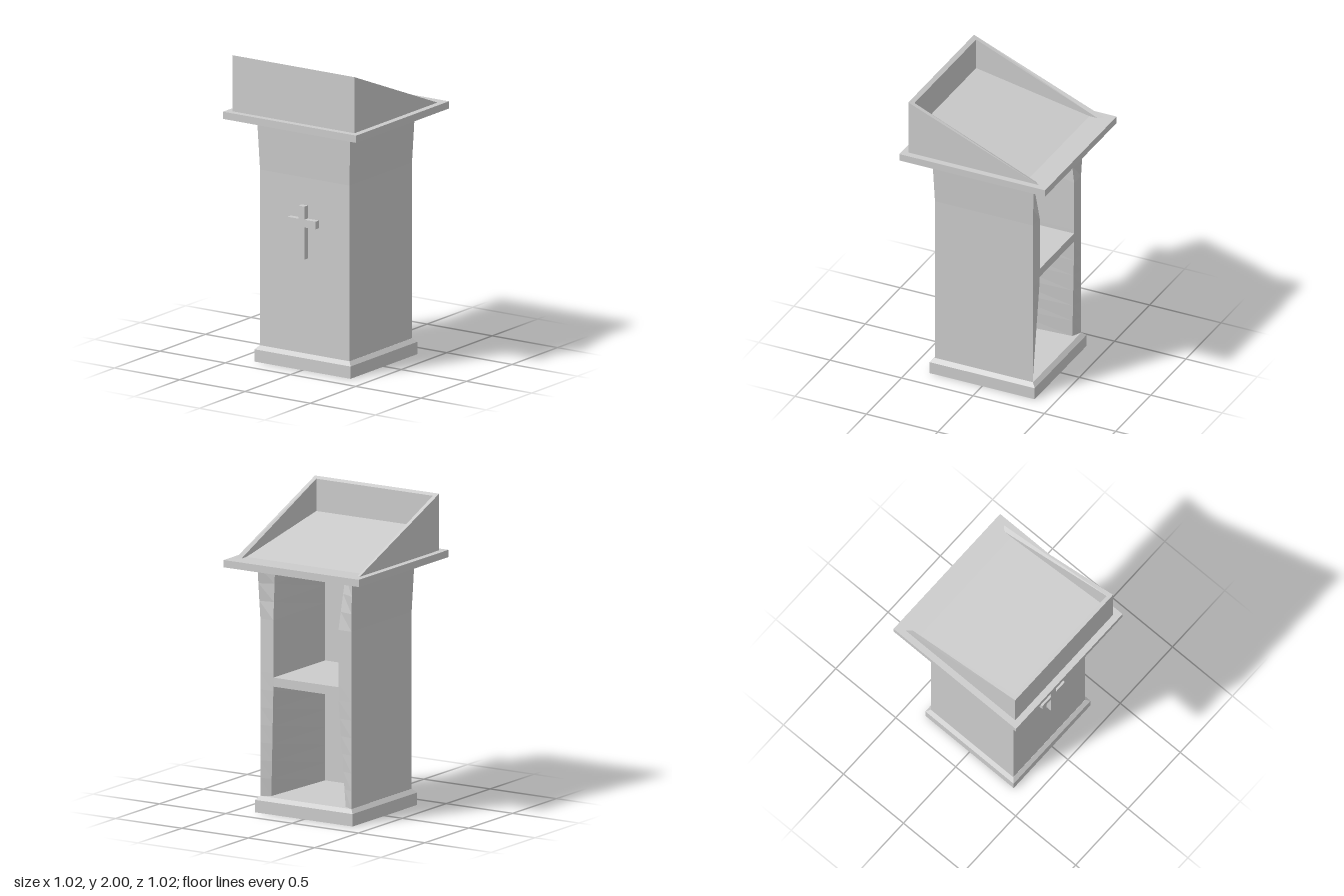
import * as THREE from 'three';

const grey = new THREE.MeshStandardMaterial({ color: 0xcccccc });
grey.name = 'light grey';

function add(group, name, geometry) {
  const mesh = new THREE.Mesh(geometry, grey);
  mesh.name = name;
  group.add(mesh);
  return mesh;
}

// Move every vertex by a rule, then give each face its own flat normal
function reshape(geometry, rule) {
  const g = geometry.index ? geometry.toNonIndexed() : geometry;
  const p = g.attributes.position, v = new THREE.Vector3();
  for (let i = 0; i < p.count; i++) {
    rule(v.fromBufferAttribute(p, i));
    p.setXYZ(i, v.x, v.y, v.z);
  }
  g.computeVertexNormals();
  return g;
}

const shapeOf = (points) => new THREE.Shape(points.map(([x, y]) => new THREE.Vector2(x, y)));

// Square block between two heights
function block(halfX, z0, z1, y0, y1) {
  return new THREE.BoxGeometry(halfX * 2, y1 - y0, z1 - z0).translate(0, (y0 + y1) / 2, (z0 + z1) / 2);
}

// Side profile of [z, y] points swept from x0 to x1
function sweepX(points, x0, x1) {
  return new THREE.ExtrudeGeometry(shapeOf(points), { depth: x1 - x0, bevelEnabled: false })
    .rotateY(-Math.PI / 2).translate(x1, 0, 0);
}

// Hollow column, open at the back, flared at the top
function columnGeometry() {
  const o = 0.343, i = 0.245, y0 = 0.105, y1 = 1.59;
  const plan = shapeOf([[-o, -o], [o, -o], [o, o], [i, o], [i, -i], [-i, -i], [-i, o], [-o, o]]);
  const g = new THREE.ExtrudeGeometry(plan, { depth: y1 - y0, steps: 13, bevelEnabled: false })
    .rotateX(-Math.PI / 2).translate(0, y0, 0);
  return reshape(g, (v) => {
    const low = Math.max(0, (0.8 - v.y) / 0.695);
    const high = Math.max(0, (v.y - 1.247) / 0.343);
    const innerBack = v.z < -0.3 && Math.abs(v.x) < 0.3;
    // Outer faces flare; the inner edges of the back posts are chamfered toward both ends
    if (innerBack) {
      v.x += Math.sign(v.x) * (0.035 * low + 0.02 * high);
      v.z += 0.03 * low + 0.05 * high;
    } else {
      if (Math.abs(v.x) > 0.3) v.x *= 1 + 0.04 * high;
      if (Math.abs(v.z) > 0.3) v.z *= 1 + 0.04 * high;
    }
  });
}

export function createModel() {
  const model = new THREE.Group();
  model.name = 'lectern';

  // Plinth with a bevelled top
  add(model, 'plinth', block(0.368, -0.368, 0.368, 0, 0.08));
  add(model, 'plinthBevel', reshape(block(0.368, -0.368, 0.368, 0.08, 0.105), (v) => {
    if (v.y > 0.1) { v.x *= 0.935; v.z *= 0.935; }
  }));

  // Body with its shelf and ceiling
  add(model, 'column', columnGeometry());
  add(model, 'shelf', block(0.25, -0.342, 0.25, 0.82, 0.878));
  add(model, 'ceiling', block(0.26, -0.29, 0.25, 1.565, 1.59));

  // Cross on the front
  const w = 0.023, a = 0.108, c0 = 0.935, c1 = 0.985;
  const cross = shapeOf([[-w, 0.725], [w, 0.725], [w, c0], [a, c0], [a, c1], [w, c1],
    [w, 1.07], [-w, 1.07], [-w, c1], [-a, c1], [-a, c0], [-w, c0]]);
  add(model, 'cross', new THREE.ExtrudeGeometry(cross, { depth: 0.04, bevelEnabled: false })
    .translate(0, 0, 0.34));

  // Table top with sloping reading desk
  const top = 1.635, out = 0.468, inn = 0.439;
  add(model, 'tableTop', block(0.51, -0.51, 0.51, 1.588, top));
  add(model, 'readingSurface', sweepX([[-0.355, top], [inn, top], [inn, 1.78]], -inn, inn));
  add(model, 'deskFrontWall', sweepX([[inn, top], [out, top], [out, 2], [inn, 1.988]], -inn, inn));
  for (const side of [-1, 1]) {
    const x0 = side > 0 ? inn : -out;
    const wall = sweepX([[-0.443, top], [out, top], [out, 2]], x0, x0 + out - inn);
    // Mitre the low tip on its inner side
    add(model, side > 0 ? 'deskLeftWall' : 'deskRightWall', reshape(wall, (v) => {
      if (v.z < -0.4 && Math.abs(v.x) < 0.45) v.z = -0.412;
    }));
  }
  return model;
}
